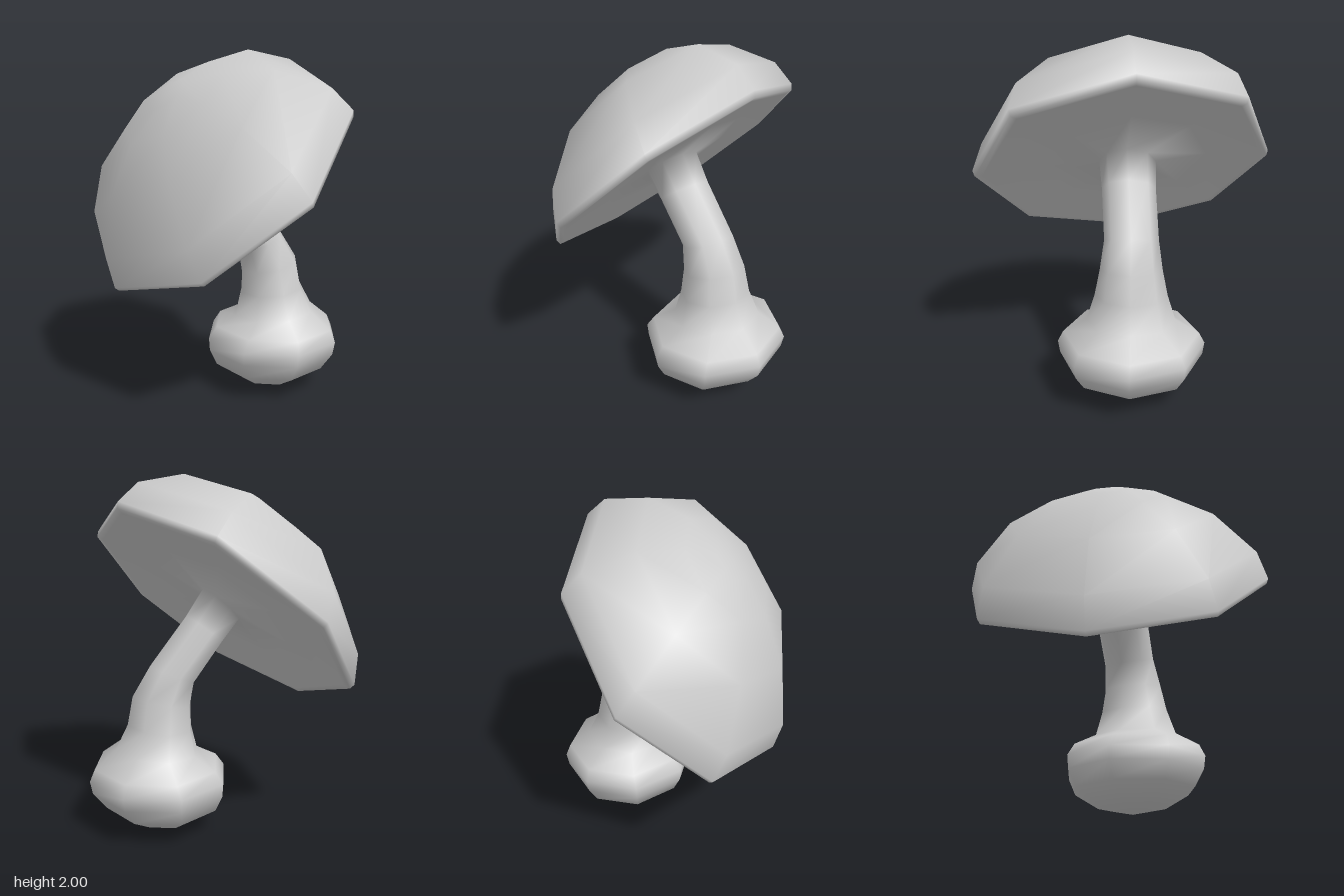
import * as THREE from 'three';
import { mergeVertices } from 'three/addons/utils/BufferGeometryUtils.js';

const SIDES = 8;
const V = (x, y, z) => new THREE.Vector3(x, y, z);

// Smooth skin through rings listed along the body; each ring has a centre c and two half axes u, v
function loft(rings) {
  const pos = [], idx = [];
  for (const { c, u, v } of rings) {
    for (let j = 0; j < SIDES; j++) {
      const a = (j / SIDES) * Math.PI * 2;
      const p = c.clone().addScaledVector(u, Math.cos(a)).addScaledVector(v, Math.sin(a));
      pos.push(p.x, p.y, p.z);
    }
  }
  for (let i = 0; i < rings.length - 1; i++) {
    for (let j = 0; j < SIDES; j++) {
      const a = i * SIDES + j, b = i * SIDES + ((j + 1) % SIDES);
      idx.push(a, a + SIDES, b, b, a + SIDES, b + SIDES);
    }
  }
  let g = new THREE.BufferGeometry();
  g.setAttribute('position', new THREE.Float32BufferAttribute(pos, 3));
  g.setIndex(idx);
  g = mergeVertices(g, 1e-5);
  g.computeVertexNormals();
  return g;
}

export function createModel() {
  const group = new THREE.Group();
  const material = new THREE.MeshStandardMaterial({ color: 0xcccccc });

  // Bulb and bent stem: centre x, centre y, centre z, radius x, radius z, lean of the ring
  const stemRings = [
    [0.27, 0.005, -0.03, 0, 0, 0],
    [0.275, 0.05, -0.03, 0.19, 0.21, 0],
    [0.285, 0.14, -0.03, 0.335, 0.36, 0],
    [0.3, 0.235, -0.03, 0.395, 0.41, 0],
    [0.305, 0.31, -0.03, 0.405, 0.42, 0],
    [0.315, 0.38, -0.03, 0.365, 0.385, 0],
    [0.315, 0.46, -0.03, 0.245, 0.25, 0.08],
    [0.295, 0.6, -0.03, 0.19, 0.205, 0.1],
    [0.28, 0.75, -0.03, 0.175, 0.175, 0.2],
    [0.217, 0.9, -0.03, 0.14, 0.153, 0.38],
    [0.02, 1.14, -0.01, 0.13, 0.155, 0.67],
    [-0.085, 1.275, 0, 0.14, 0.165, 0.75],
  ].map(([x, y, z, rx, rz, lean]) => ({
    c: V(x, y, z),
    u: V(rx * Math.cos(lean), rx * Math.sin(lean), 0),
    v: V(0, 0, rz),
  }));

  // Tilted cap: radius factor and height along the cap's axis, from the underside over the rim to the crown
  const centre = V(-0.06, 1.25, 0);
  const across = V(0.59, 0.575, -0.06), along = V(0.225, -0.01, 0.85);
  const axis = V(-0.52, 0.895, 0.08);
  const capRings = [
    [0.55, 0.04], [0.94, 0.005], [0.985, 0.005], [1, 0.035],
    [0.94, 0.185], [0.68, 0.405], [0.38, 0.52], [0.14, 0.565], [0, 0.57],
  ].map(([r, h]) => ({
    c: centre.clone().addScaledVector(axis, h),
    u: across.clone().multiplyScalar(r),
    v: along.clone().multiplyScalar(r),
  }));

  // One continuous skin, so the stem flows into the underside, divided into its two parts
  const skin = loft([...stemRings, ...capRings]);
  const index = Array.from(skin.index.array);
  const split = (stemRings.length - 1) * SIDES * 6;
  for (const [name, part] of [['stem', index.slice(0, split)], ['cap', index.slice(split)]]) {
    const mesh = new THREE.Mesh(skin.clone().setIndex(part), material);
    mesh.name = name;
    group.add(mesh);
  }
  return group;
}
